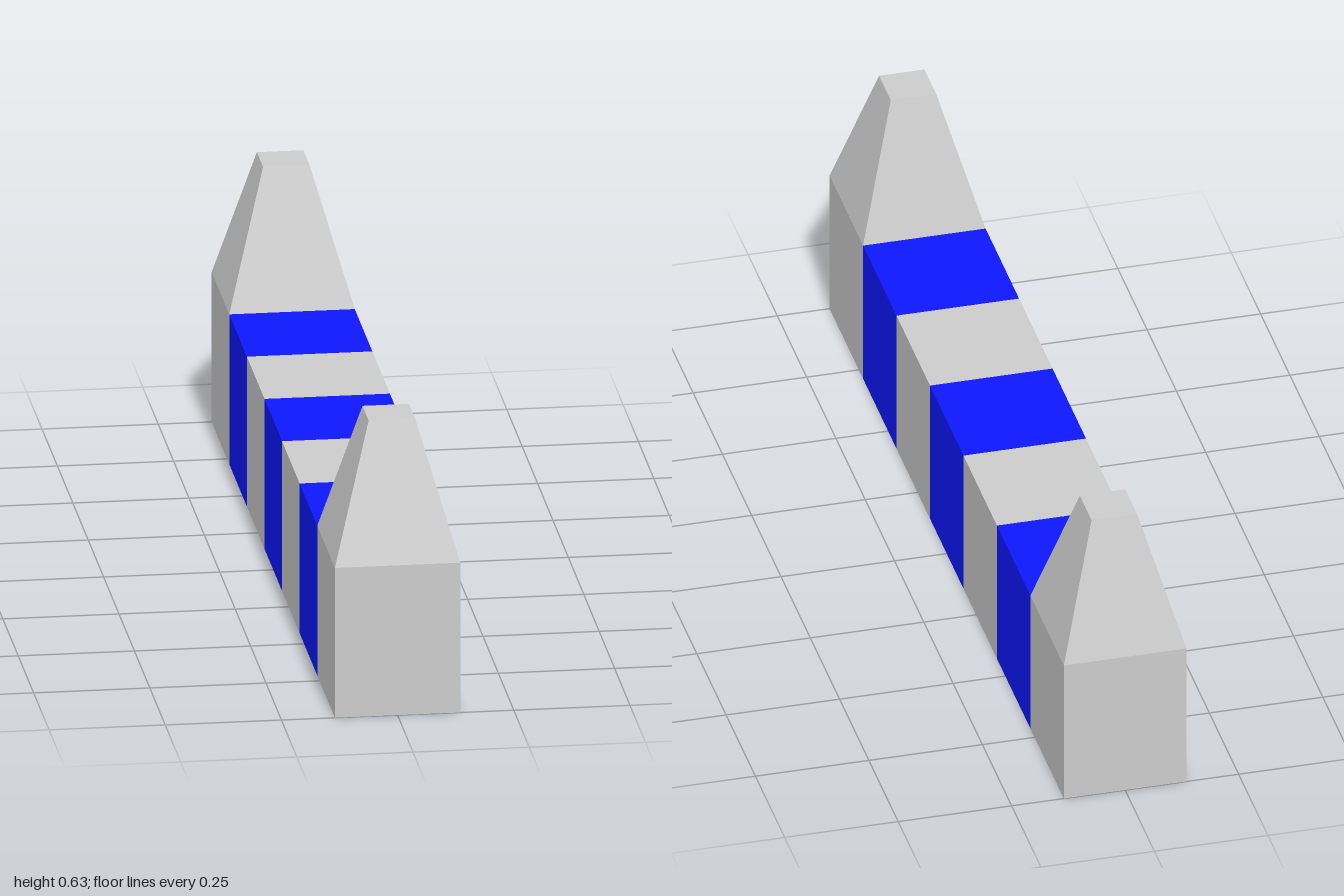
import * as THREE from 'three';

const WIDTH = 0.27, HEIGHT = 0.337, TOP = 0.634, SEGMENTS = 7;
const LENGTH = 2 / SEGMENTS;
const TIP = 0.1; // side of the small square on top of each post

export function createModel() {
  const group = new THREE.Group();
  group.name = 'barrier';
  const grey = new THREE.MeshStandardMaterial({ color: 0xcccccc, flatShading: true });
  const blue = new THREE.MeshStandardMaterial({ color: 0x0e17ff, flatShading: true });

  // Striped beam of equal blocks, alternating grey and blue
  const block = new THREE.BoxGeometry(WIDTH, HEIGHT, LENGTH);
  for (let i = 0; i < SEGMENTS; i++) {
    const mesh = new THREE.Mesh(block, i % 2 ? blue : grey);
    mesh.name = i % 2 ? 'blueBlock' : 'greyBlock';
    mesh.position.set(0, HEIGHT / 2, -1 + (i + 0.5) * LENGTH);
    group.add(mesh);
  }

  // Tapered post cap: a box whose upper corners are drawn in to the tip
  const capHeight = TOP - HEIGHT;
  const cap = new THREE.BoxGeometry(WIDTH, capHeight, LENGTH);
  const pos = cap.attributes.position;
  for (let i = 0; i < pos.count; i++) {
    if (pos.getY(i) > 0) {
      pos.setX(i, Math.sign(pos.getX(i)) * TIP / 2);
      pos.setZ(i, Math.sign(pos.getZ(i)) * TIP / 2);
    }
  }
  cap.computeVertexNormals();
  for (const side of [1, -1]) {
    const mesh = new THREE.Mesh(cap, grey);
    mesh.name = side > 0 ? 'frontPostCap' : 'backPostCap';
    mesh.position.set(0, HEIGHT + capHeight / 2, side * (1 - LENGTH / 2));
    group.add(mesh);
  }
  return group;
}
